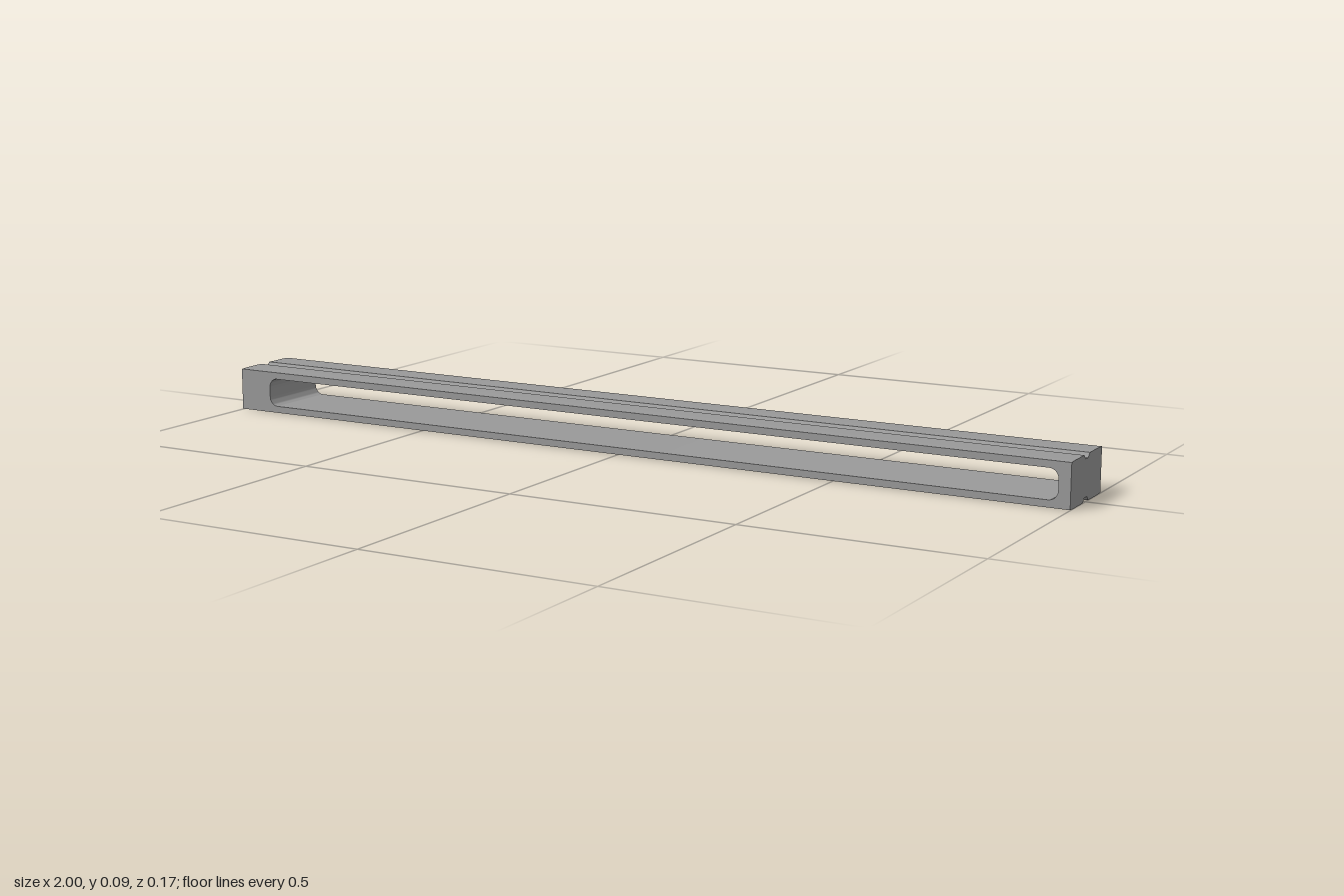
import * as THREE from 'three';
import { toCreasedNormals } from 'three/addons/utils/BufferGeometryUtils.js';

const HEIGHT = 0.095;

// Stations across the depth: [z, inset of the top and bottom surfaces]
const PROFILE = [
  [-0.085, 0.001], [-0.068, 0], [-0.015, 0], [-0.011, 0.005], [-0.007, 0.009],
  [0.007, 0.009], [0.011, 0.005], [0.015, 0], [0.068, 0], [0.085, 0.001],
];

// Rounded rectangle used for the through slot
function roundedSlot(x0, y0, x1, y1, r) {
  const p = new THREE.Path();
  p.absarc(x1 - r, y1 - r, r, Math.PI / 2, 0, true);
  p.absarc(x1 - r, y0 + r, r, 0, -Math.PI / 2, true);
  p.absarc(x0 + r, y0 + r, r, -Math.PI / 2, -Math.PI, true);
  p.absarc(x0 + r, y1 - r, r, Math.PI, Math.PI / 2, true);
  p.closePath();
  return p;
}

export function createModel() {
  const group = new THREE.Group();
  group.name = 'slottedBar';
  const grey = new THREE.MeshStandardMaterial({ color: 0x999999 });
  grey.name = 'grey';

  // Front outline with the long off-centre slot
  const outline = new THREE.Shape();
  outline.moveTo(-1, 0);
  outline.lineTo(1, 0);
  outline.lineTo(1, HEIGHT);
  outline.lineTo(-1, HEIGHT);
  outline.closePath();
  outline.holes.push(roundedSlot(-0.92, 0.016, 0.975, 0.079, 0.02));

  const steps = PROFILE.length - 1;
  const bar = new THREE.ExtrudeGeometry(outline, {
    depth: steps, steps, bevelEnabled: false, curveSegments: 8,
  });

  // Move each slice to its station and press the grooves into top and bottom
  const pos = bar.attributes.position;
  for (let i = 0; i < pos.count; i++) {
    const [z, inset] = PROFILE[Math.round(pos.getZ(i))];
    const y = pos.getY(i);
    if (y < 0.001) pos.setY(i, inset);
    else if (y > HEIGHT - 0.001) pos.setY(i, HEIGHT - inset);
    pos.setZ(i, z);
  }

  const mesh = new THREE.Mesh(toCreasedNormals(bar, 0.4), grey);
  mesh.name = 'groovedBar';
  group.add(mesh);
  return group;
}
